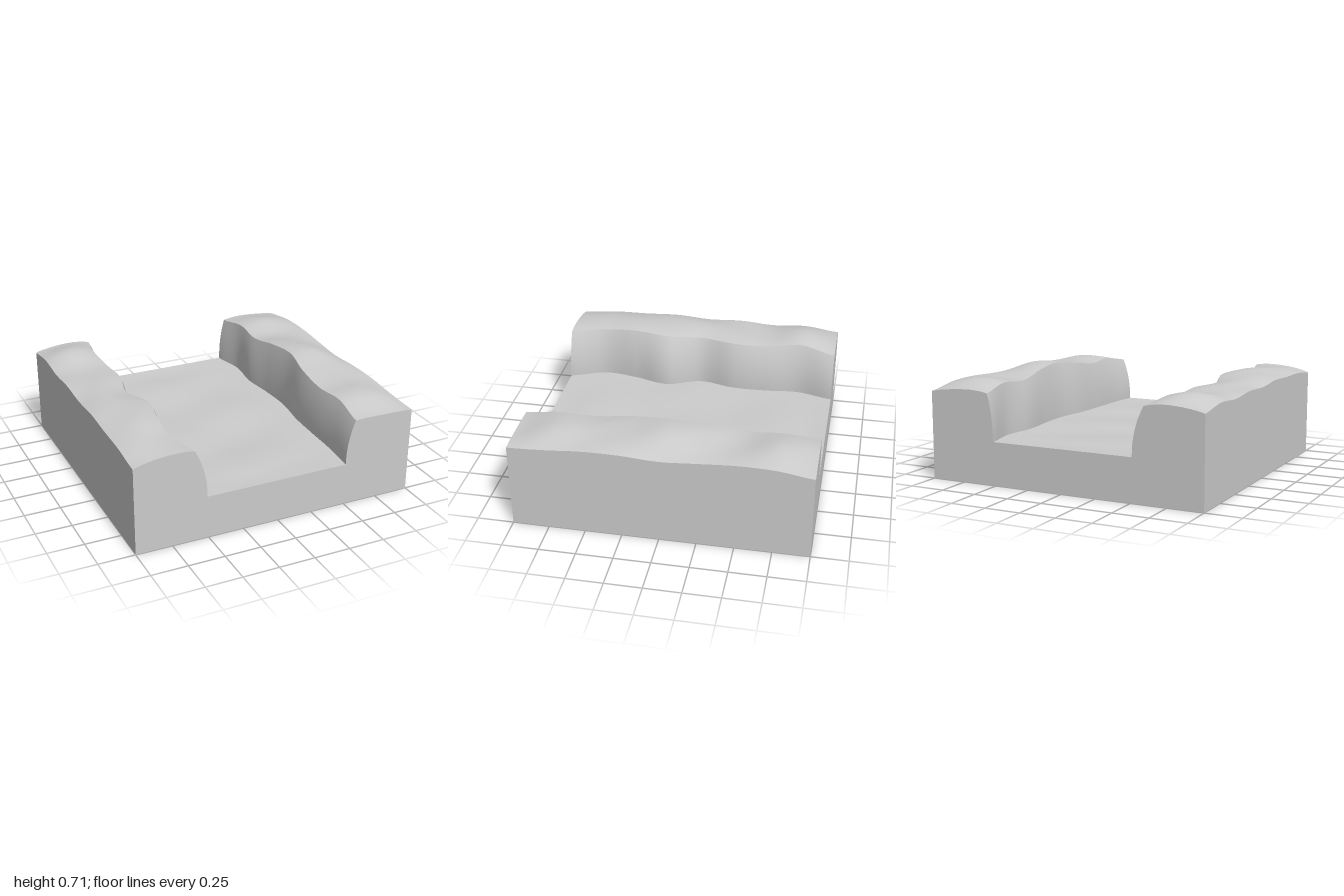
import * as THREE from 'three';

// Smooth curve through values spaced evenly from z = -1 to z = 1
function along(values) {
  const n = values.length - 1;
  return (z) => {
    const t = Math.min(Math.max((z + 1) / 2 * n, 0), n);
    const i = Math.min(Math.floor(t), n - 1), f = t - i;
    const at = (k) => values[Math.min(Math.max(k, 0), n)];
    const [a, b, c, d] = [at(i - 1), at(i), at(i + 1), at(i + 2)];
    return b + 0.5 * f * (c - a + f * (2 * a - 5 * b + 4 * c - d + f * (3 * (b - c) + d - a)));
  };
}

// Wall toe and lip positions, and bank heights at outer edge, middle and lip
const banks = {
  left: {
    sign: -1,
    toe: along([-0.51, -0.57, -0.55, -0.55, -0.60, -0.51, -0.57, -0.60, -0.505]),
    lip: along([-0.59, -0.64, -0.62, -0.61, -0.66, -0.60, -0.635, -0.655, -0.59]),
    outerY: along([0.61, 0.64, 0.625, 0.64, 0.63, 0.645, 0.635, 0.63, 0.605]),
    midY: along([0.645, 0.685, 0.65, 0.655, 0.66, 0.68, 0.68, 0.66, 0.65]),
    lipY: along([0.625, 0.66, 0.635, 0.64, 0.64, 0.66, 0.665, 0.645, 0.64]),
  },
  right: {
    sign: 1,
    toe: along([0.515, 0.56, 0.535, 0.56, 0.57, 0.54, 0.53, 0.525, 0.505]),
    lip: along([0.557, 0.585, 0.58, 0.60, 0.615, 0.58, 0.575, 0.585, 0.565]),
    outerY: along([0.605, 0.64, 0.645, 0.63, 0.615, 0.63, 0.63, 0.612, 0.602]),
    midY: along([0.635, 0.675, 0.65, 0.675, 0.695, 0.67, 0.65, 0.66, 0.615]),
    lipY: along([0.62, 0.655, 0.64, 0.68, 0.70, 0.67, 0.64, 0.65, 0.61]),
  },
};

// Bank top: p runs from the outer edge (0) to the lip (1)
function bankPoint(b, p, z) {
  const o = b.outerY(z), m = b.midY(z), l = b.lipY(z);
  const y = o * (1 - p) * (1 - 2 * p) + 4 * m * p * (1 - p) + l * p * (2 * p - 1);
  const ripple = 0.004 * Math.sin(p * Math.PI) * Math.sin(9 * z + 4 * p);
  return [b.sign + (b.lip(z) - b.sign) * p, y + ripple, z];
}

// Gently rippled river bed, level along its rim
function bedY(u, z) {
  const fade = Math.sin(Math.PI * u) * Math.min(1, (1 - Math.abs(z)) * 5);
  const ripple = Math.sin(9 * z + 3 * u) * 0.6 + Math.sin(5 * z - 7 * u + 1) * 0.4;
  return 0.297 + fade * (0.011 * ripple - 0.007);
}

// Wall: steep at the toe, leaning outward towards the lip; t = 0 at the toe
function wallPoint(b, t, z) {
  const toe = b.toe(z), lip = b.lip(z), foot = bedY(0, z);
  return [toe + (lip - toe) * t ** 2.2, foot + (b.lipY(z) - foot) * t, z];
}

function bedPoint(u, z) {
  const a = banks.left.toe(z), b = banks.right.toe(z);
  return [a + (b - a) * u, bedY(u, z), z];
}

// The five strips of the cross-section from -x to +x
const strips = [
  ['leftBank', (u, z) => bankPoint(banks.left, u, z)],
  ['leftRiverWall', (u, z) => wallPoint(banks.left, 1 - u, z)],
  ['riverBed', bedPoint],
  ['rightRiverWall', (u, z) => wallPoint(banks.right, u, z)],
  ['rightBank', (u, z) => bankPoint(banks.right, 1 - u, z)],
];

// Point on the whole cross-section, s from 0 to 1
function section(s, z) {
  const i = Math.min(Math.floor(s * 5 + 1e-6), 4);
  return strips[i][1](s * 5 - i, z);
}

export function createModel() {
  const group = new THREE.Group();
  const material = new THREE.MeshStandardMaterial({ color: 0xcccccc, roughness: 0.9 });

  // Grid surface from a rule (u, v in 0..1)
  const addPatch = (name, nu, nv, rule) => {
    const positions = [], index = [];
    for (let j = 0; j <= nv; j++) {
      for (let i = 0; i <= nu; i++) positions.push(...rule(i / nu, j / nv));
    }
    for (let j = 0; j < nv; j++) {
      for (let i = 0; i < nu; i++) {
        const a = j * (nu + 1) + i, b = a + nu + 1;
        index.push(a, b, a + 1, b, b + 1, a + 1);
      }
    }
    const geometry = new THREE.BufferGeometry();
    geometry.setAttribute('position', new THREE.Float32BufferAttribute(positions, 3));
    geometry.setIndex(index);
    geometry.computeVertexNormals();
    const mesh = new THREE.Mesh(geometry, material);
    mesh.name = name;
    group.add(mesh);
  };

  // Terrain surface
  for (const [name, rule] of strips) {
    addPatch(name, 24, 96, (u, v) => rule(u, v * 2 - 1));
  }

  // Flat cut faces dropping from the terrain edge to the ground
  const drop = ([x, y, z], v) => [x, y * (1 - v), z];
  addPatch('frontFace', 120, 1, (u, v) => drop(section(u, 1), v));
  addPatch('backFace', 120, 1, (u, v) => drop(section(1 - u, -1), v));
  addPatch('rightFace', 96, 1, (u, v) => drop(section(1, 1 - 2 * u), v));
  addPatch('leftFace', 96, 1, (u, v) => drop(section(0, 2 * u - 1), v));

  // Underside
  addPatch('underside', 1, 1, (u, v) => [1 - 2 * u, 0, 2 * v - 1]);
  return group;
}
